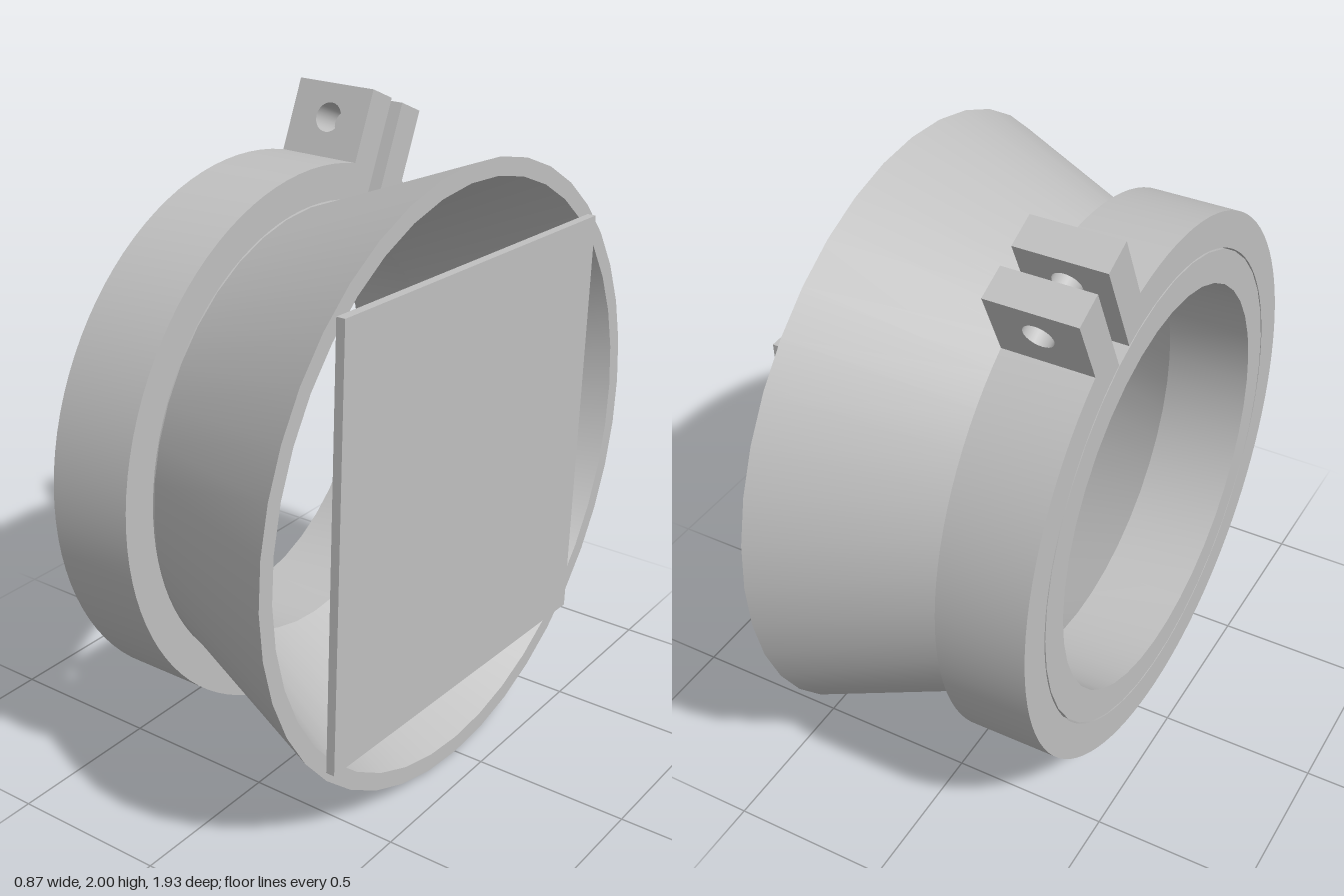
import * as THREE from 'three';
import { toCreasedNormals } from 'three/addons/utils/BufferGeometryUtils.js';

const CENTER_Y = 0.967;
const BACK = -0.435, STEP = -0.157, RIM = 0.402; // stations along the x axis
const COLLAR_R = 0.855, HALF_GAP = 0.032;

export function createModel() {
  const grey = new THREE.MeshStandardMaterial({ color: 0xc0c0c0 });
  grey.name = 'light grey';

  const model = new THREE.Group();
  model.name = 'clampedFunnel';
  const add = (parent, name, geometry) => {
    const mesh = new THREE.Mesh(geometry, grey);
    mesh.name = name;
    parent.add(mesh);
    return mesh;
  };

  // Hollow funnel: short tube opening into a cone, turned about x
  const profile = [
    [0.638, BACK], [0.74, BACK], [0.74, STEP], [0.963, RIM],
    [0.908, RIM], [0.638, STEP], [0.638, BACK],
  ].map(([r, x]) => new THREE.Vector2(r, x));
  const funnelGeo = new THREE.LatheGeometry(profile, 40);
  funnelGeo.rotateZ(-Math.PI / 2);
  const funnel = add(model, 'funnel', toCreasedNormals(funnelGeo, 0.35));
  funnel.position.y = CENTER_Y;

  // Clamp, tilted so its split points up and to the back
  const clamp = new THREE.Group();
  clamp.name = 'clamp';
  clamp.position.y = CENTER_Y;
  clamp.rotation.x = -THREE.MathUtils.degToRad(24.5);
  model.add(clamp);

  // Split collar: a C-shaped band with flat, parallel ends
  const innerR = 0.744, top = Math.PI / 2;
  const aOut = Math.asin(HALF_GAP / COLLAR_R), aIn = Math.asin(HALF_GAP / innerR);
  const band = new THREE.Shape();
  band.absarc(0, 0, COLLAR_R, top + aOut, top - aOut + 2 * Math.PI, false);
  band.absarc(0, 0, innerR, top - aIn + 2 * Math.PI, top + aIn, true);
  band.closePath();
  const collarGeo = new THREE.ExtrudeGeometry(band, {
    depth: STEP - BACK, bevelEnabled: false, curveSegments: 48,
  });
  collarGeo.rotateY(Math.PI / 2);
  collarGeo.translate(BACK, 0, 0);
  add(clamp, 'collar', toCreasedNormals(collarGeo, 0.35));

  // Pair of drilled ears either side of the split
  const ear = new THREE.Shape();
  ear.moveTo(BACK, 0.835);
  ear.lineTo(STEP, 0.835);
  ear.lineTo(STEP, 1.072);
  ear.lineTo(BACK, 1.072);
  ear.closePath();
  const hole = new THREE.Path();
  hole.absarc((BACK + STEP) / 2, 0.966, 0.046, 0, Math.PI * 2, true);
  ear.holes.push(hole);
  const earDepth = 0.106;
  const earGeo = toCreasedNormals(new THREE.ExtrudeGeometry(ear, {
    depth: earDepth, bevelEnabled: false, curveSegments: 12,
  }), 0.6);
  add(clamp, 'frontEar', earGeo).position.z = HALF_GAP;
  add(clamp, 'backEar', earGeo).position.z = -HALF_GAP - earDepth;

  // Thin plate across the wide mouth, slightly turned
  const plate = add(model, 'plate', new THREE.BoxGeometry(0.028, 1.36, 1.31));
  plate.position.set(RIM + 0.014, CENTER_Y, 0);
  plate.rotation.x = -THREE.MathUtils.degToRad(2.4);

  return model;
}
